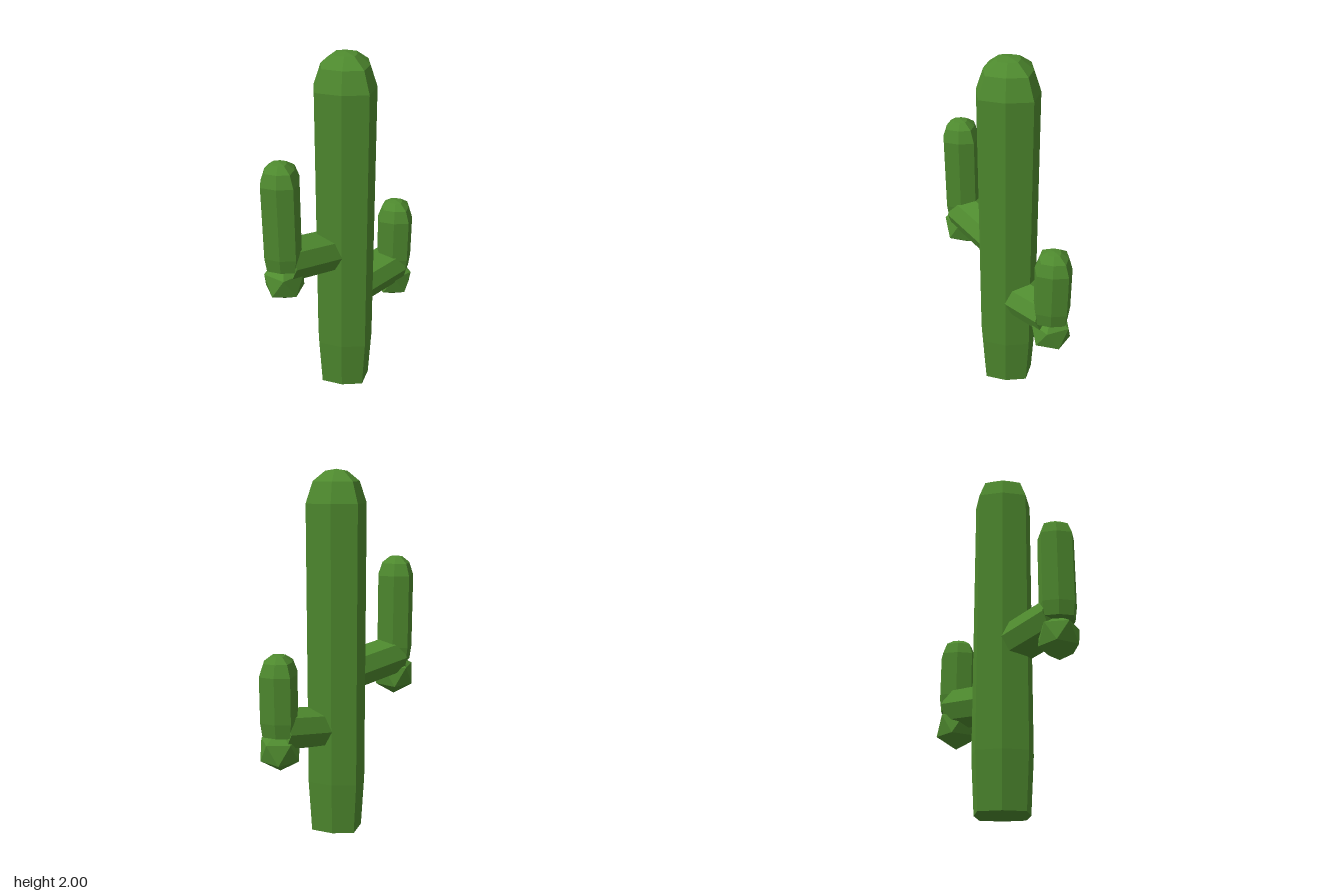
import * as THREE from 'three';

const green = new THREE.MeshStandardMaterial({ color: 0x4f8b2f });
green.name = 'cactusGreen';

// Faceted mesh with one normal per face
function part(name, geometry) {
  const flat = geometry.index ? geometry.toNonIndexed() : geometry;
  flat.computeVertexNormals();
  const mesh = new THREE.Mesh(flat, green);
  mesh.name = name;
  return mesh;
}

// Eight-sided ribbed column with a tapered foot and a domed top
function column(name, r, footR, bottom, taperTop, top) {
  const dome = r * 0.9;
  const profile = [
    [0, bottom], [footR, bottom], [r, taperTop], [r, top - dome],
    [r * 0.77, top - dome * 0.36], [r * 0.37, top - dome * 0.06], [0, top],
  ].map(([x, y]) => new THREE.Vector2(x, y));
  const geometry = new THREE.LatheGeometry(profile, 8);
  // Pull in the diagonal corners so the four main ribs stand out
  const pos = geometry.attributes.position;
  for (let i = 0; i < pos.count; i++) {
    const x = pos.getX(i), z = pos.getZ(i);
    if (Math.min(Math.abs(x), Math.abs(z)) > 1e-4) {
      pos.setX(i, x * 0.845);
      pos.setZ(i, z * 0.845);
    }
  }
  return part(name, geometry);
}

// Side arm: sloping link, upright column and knobbly elbow
function arm(name, side, footY, top) {
  const group = new THREE.Group();
  group.name = name;
  const z = side * 0.39;
  const tilt = 0.145;

  const upright = column('upright', 0.117, 0.105, footY, footY + 0.08, top);
  upright.position.z = z;

  const link = part('link', new THREE.CylinderGeometry(0.117, 0.117, 0.36, 8));
  link.rotation.x = side * (Math.PI / 2 - tilt);
  link.position.set(0, footY - 0.003, side * 0.21);

  const ball = new THREE.IcosahedronGeometry(0.122, 0);
  ball.rotateX(-Math.atan((1 + Math.sqrt(5)) / 2)); // stand on a corner
  ball.rotateY(-Math.PI / 2);
  const elbow = part('elbow', ball);
  elbow.position.set(0, footY - 0.092, z);

  group.add(upright, link, elbow);
  return group;
}

export function createModel() {
  const model = new THREE.Group();
  model.name = 'cactus';
  const trunk = column('trunk', 0.19, 0.17, 0, 0.3, 2);
  trunk.position.z = -0.02;
  model.add(trunk, arm('frontArm', 1, 0.93, 1.525), arm('backArm', -1, 0.628, 1.065));
  return model;
}
